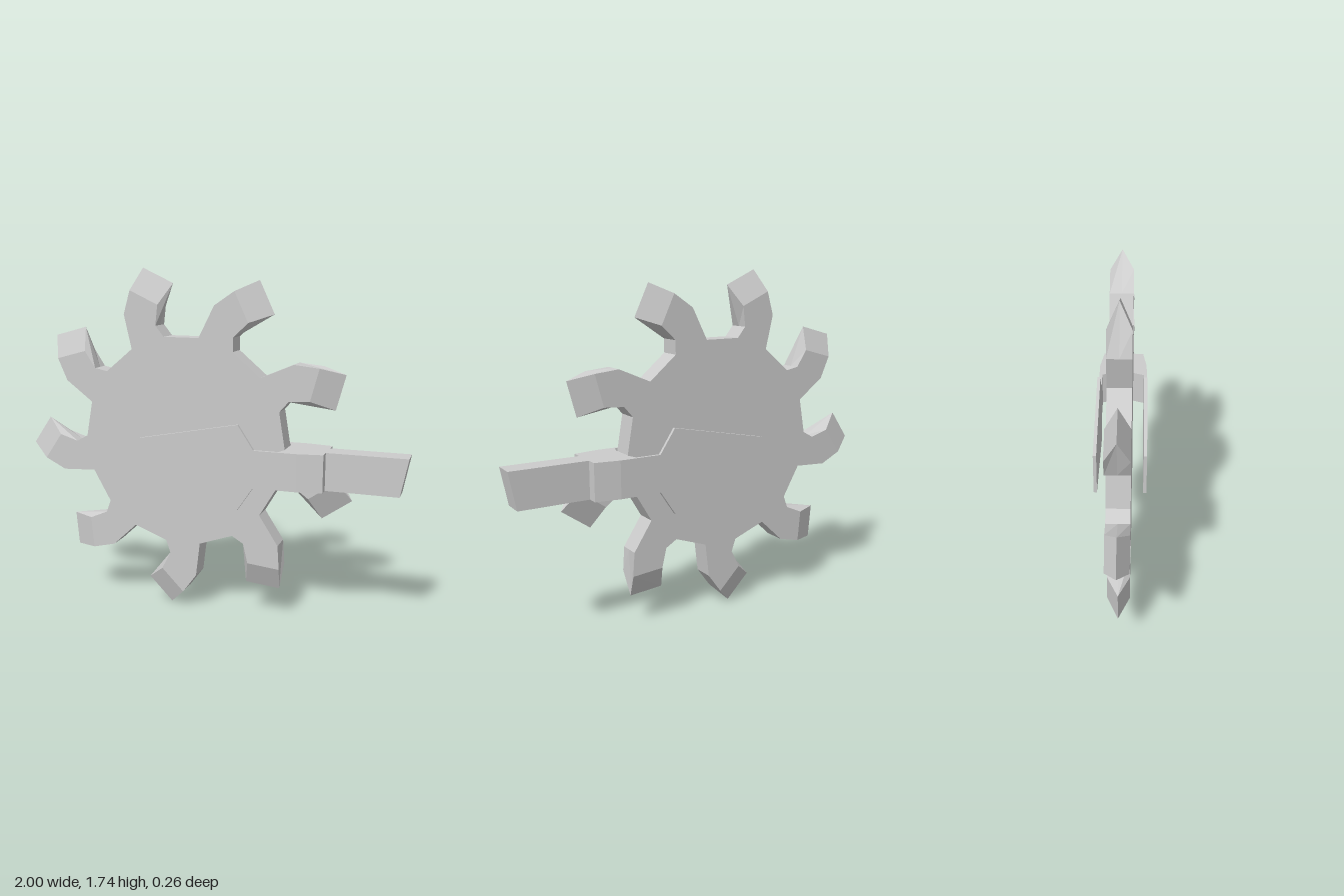
import * as THREE from 'three';

const material = new THREE.MeshStandardMaterial({ color: 0xcccccc, flatShading: true });
const HALF = 0.055; // half thickness of the wheel and the arm

function polygon(points) {
  return new THREE.Shape(points.map(([x, y]) => new THREE.Vector2(x, y)));
}

function extrude(points, depth, steps = 1) {
  return new THREE.ExtrudeGeometry(polygon(points), { depth, steps, bevelEnabled: false });
}

function addMesh(group, name, geometry) {
  const mesh = new THREE.Mesh(geometry, material);
  mesh.name = name;
  group.add(mesh);
  return mesh;
}

// Nine-toothed wheel: each tooth narrows to a sharp edge on the middle plane
function wheelGeometry() {
  // one tooth, relative to the hub: root, elbow, inner and outer shoulder, knee, root
  const tooth = [[0.5, 0.183], [0.545, 0.235], [0.647, 0.241], [0.689, 0.399], [0.567, 0.412], [0.405, 0.343]];
  const tips = { 2: [0.76, 0.198], 3: [0.805, 0.368] }; // shoulders stretch to these at z = 0
  const outline = [], moves = [];
  const turn = ([x, y], a) => [x * Math.cos(a) - y * Math.sin(a), x * Math.sin(a) + y * Math.cos(a)];
  for (let i = 0; i < 9; i++) {
    const a = (i * Math.PI * 2) / 9;
    tooth.forEach((p, k) => {
      const from = turn(p, a);
      outline.push(from);
      if (tips[k]) moves.push({ from, to: turn(tips[k], a) });
    });
  }
  const geometry = extrude(outline, HALF * 2, 2).translate(0, 0, -HALF);
  const pos = geometry.attributes.position;
  for (let i = 0; i < pos.count; i++) {
    if (Math.abs(pos.getZ(i)) > 0.01) continue;
    const move = moves.find(({ from }) => Math.hypot(pos.getX(i) - from[0], pos.getY(i) - from[1]) < 1e-4);
    if (move) pos.setXY(i, ...move.to);
  }
  geometry.computeVertexNormals();
  return geometry;
}

export function createModel() {
  const group = new THREE.Group();
  group.name = 'toothedWheelOnArm';

  addMesh(group, 'toothedWheel', wheelGeometry()).position.set(-0.115, 0.887, 0);

  // Side plates of the fork
  const plate = [[-0.315, 0.68], [0.2, 0.585], [0.28, 0.705], [0.41, 0.705],
    [0.41, 0.89], [0.28, 0.89], [0.2, 1.01], [-0.315, 0.91]];
  for (const [name, z] of [['frontPlate', 0.112], ['backPlate', -0.128]]) {
    addMesh(group, name, extrude(plate, 0.016).translate(0, 0, z));
  }

  // Fork bridge, drawn in plan and extruded downwards
  const half = [[0.42, HALF], [0.4, 0.112], [0.4, 0.128], [0.49, 0.128], [0.615, 0.108]];
  const plan = [...half, ...half.map(([x, z]) => [x, -z]).reverse()];
  addMesh(group, 'forkBridge', extrude(plan, 0.185).rotateX(Math.PI / 2).translate(0, 0.89, 0));

  // Arm with a slanted end
  const arm = [[0.6, 0.705], [0.965, 0.705], [1, 0.89], [0.6, 0.89]];
  addMesh(group, 'arm', extrude(arm, HALF * 2).translate(0, 0, -HALF));

  return group;
}
